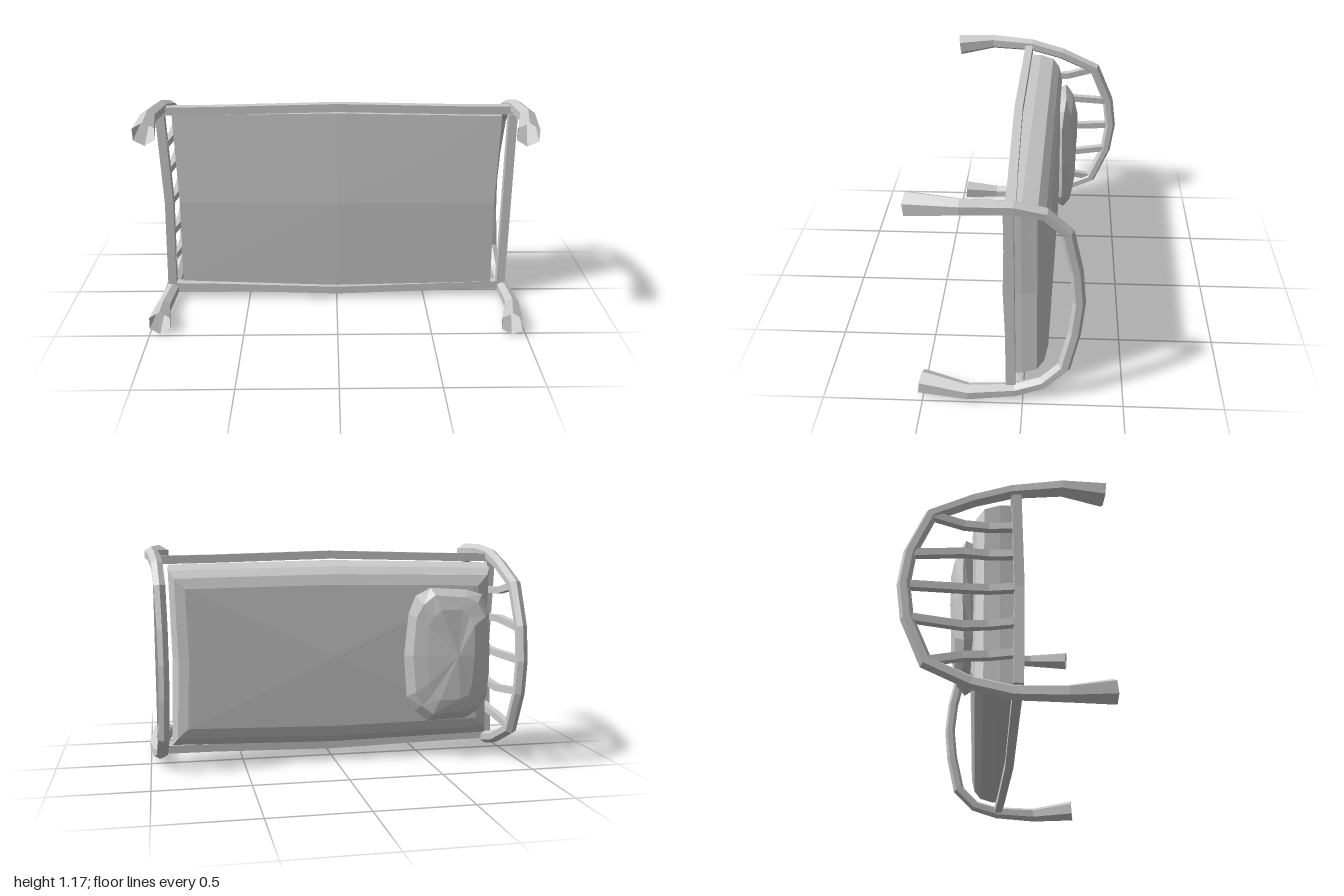
import * as THREE from 'three';

const MID = 0.59; // the frame is mirrored about this height

// Skin a list of rings (each counter-clockwise about the direction of travel);
// optional start and end points close it with fans.
function loft(name, rings, start, end) {
  const pos = [];
  const tri = (a, b, c) => pos.push(...a, ...b, ...c);
  const n = rings[0].length;
  for (let i = 0; i < rings.length - 1; i++) {
    for (let k = 0; k < n; k++) {
      const j = (k + 1) % n, p = rings[i], q = rings[i + 1];
      tri(p[k], p[j], q[j]);
      tri(p[k], q[j], q[k]);
    }
  }
  const last = rings[rings.length - 1];
  for (let k = 0; k < n; k++) {
    const j = (k + 1) % n;
    if (start) tri(start, rings[0][j], rings[0][k]);
    if (end) tri(end, last[k], last[j]);
  }
  const geo = new THREE.BufferGeometry();
  geo.setAttribute('position', new THREE.Float32BufferAttribute(pos, 3));
  geo.computeVertexNormals();
  const mesh = new THREE.Mesh(geo, new THREE.MeshStandardMaterial({
    color: 0xcccccc, flatShading: true, side: THREE.DoubleSide }));
  mesh.name = name;
  return mesh;
}

// Sweep a polygon along points [x, y, z, radius]; ref fixes its orientation.
function sweep(name, pts, sides, ref, turn, capped) {
  const v = pts.map(p => new THREE.Vector3(p[0], p[1], p[2]));
  const rings = v.map((p, i) => {
    const t = v[Math.min(i + 1, v.length - 1)].clone().sub(v[Math.max(i - 1, 0)]).normalize();
    const n = ref.clone().addScaledVector(t, -ref.dot(t)).normalize();
    const b = t.clone().cross(n);
    return Array.from({ length: sides }, (_, k) => {
      const a = turn + k / sides * Math.PI * 2;
      return p.clone().addScaledVector(n, Math.cos(a) * pts[i][3])
        .addScaledVector(b, Math.sin(a) * pts[i][3]).toArray();
    });
  });
  const e = v.map(p => p.toArray());
  return loft(name, rings, capped && e[0], capped && e[e.length - 1]);
}

const X = new THREE.Vector3(1, 0, 0), Z = new THREE.Vector3(0, 0, 1);

// Half profile rows [x, distance from MID, z, radius], mirrored into a full arch
function arch(name, half) {
  const lower = half.map(([x, d, z, r]) => [x, MID - d, z, r]);
  const upper = half.slice(0, -1).reverse().map(([x, d, z, r]) => [x, MID + d, z, r]);
  return sweep(name, [...lower, ...upper], 6, X, Math.PI / 6, false);
}

export function createModel() {
  const bed = new THREE.Group();
  bed.name = 'bed';

  // Head and foot arches with flared, hollow legs
  bed.add(arch('headArch', [
    [-0.945, 0.525, 0.475, 0.062], [-0.96, 0.545, 0.27, 0.042], [-0.935, 0.535, 0.03, 0.036],
    [-0.922, 0.487, -0.155, 0.034], [-0.923, 0.392, -0.36, 0.034],
    [-0.928, 0.175, -0.452, 0.032], [-0.928, 0, -0.475, 0.032]]));
  bed.add(arch('footArch', [
    [0.925, 0.525, 0.51, 0.062], [0.97, 0.543, 0.27, 0.042], [0.955, 0.535, 0.04, 0.036],
    [0.94, 0.497, -0.1, 0.034], [0.93, 0.395, -0.203, 0.034],
    [0.923, 0.18, -0.25, 0.032], [0.921, 0, -0.267, 0.031]]));

  // Long rails, bowed slightly outwards
  for (const s of [-1, 1]) {
    const rail = [[-0.945, 0.52, 0.047], [-0.65, 0.524, 0.052], [0, 0.541, 0.064],
      [0.65, 0.524, 0.056], [0.955, 0.52, 0.047]];
    bed.add(sweep('sideRail', rail.map(([x, d, z]) => [x, MID + s * d, z, 0.031]),
      4, Z, Math.PI / 4, true));
  }

  // Cross rails at both ends
  bed.add(sweep('headRail', [[-0.94, 0.09, 0.05, 0.033], [-0.922, MID, 0.06, 0.033],
    [-0.94, 1.09, 0.05, 0.033]], 4, X, Math.PI / 4, true));
  bed.add(sweep('footRail', [[0.94, 0.09, 0.06, 0.033], [0.94, 1.09, 0.06, 0.033]],
    4, X, Math.PI / 4, true));

  // Fanned headboard slats
  const slats = [[-0.385, -0.35, -0.335], [-0.17, -0.195, -0.18], [0, 0, 0],
    [0.17, 0.195, 0.18], [0.385, 0.35, 0.335]];
  for (const [top, mid, low] of slats) {
    const zTop = Math.abs(top) > 0.3 ? -0.35 : -0.445;
    bed.add(sweep('slat', [[-0.927, MID + top, zTop, 0.026], [-0.908, MID + mid, -0.2, 0.026],
      [-0.905, MID + (mid + low) / 2, -0.08, 0.026], [-0.925, MID + low, 0.055, 0.026]],
      4, X, Math.PI / 4, true));
  }

  // Mattress: stacked outlines [z, half length, half width], thinner at the foot
  const layers = [[-0.14, 0.8, 0.38], [-0.122, 0.855, 0.435], [-0.085, 0.88, 0.475],
    [-0.01, 0.885, 0.497], [0.065, 0.88, 0.5]];
  const outline = [[1, 0], [1, 1], [0, 1], [-1, 1], [-1, 0], [-1, -1], [0, -1], [1, -1]];
  const mattressRings = layers.map(([z, hx, hy]) => outline.map(([a, b]) => [
    a * hx * (b ? 1 : 0.985), MID + b * hy * (a ? 0.985 : 1.02),
    z + 0.018 * a + (z > 0 && a * b === 0 ? 0.015 : 0)]));
  bed.add(loft('mattress', mattressRings, [0, MID, -0.152], [0, MID, 0.1]));

  // Pillow: rounded rectangles with a slightly uneven rim
  const N = 14;
  const pillowLayers = [[-0.243, 0.13, 0.25], [-0.225, 0.2, 0.325],
    [-0.185, 0.24, 0.368], [-0.15, 0.225, 0.355], [-0.125, 0.17, 0.29]];
  const pillowRings = pillowLayers.map(([z, hx, hy], i) => Array.from({ length: N }, (_, k) => {
    const a = k / N * Math.PI * 2, c = Math.cos(a), s = Math.sin(a);
    const wave = 1 + 0.025 * Math.sin(k * 2.3 + i);
    return [-0.62 + Math.sign(c) * Math.abs(c) ** 0.55 * hx * wave,
      MID + Math.sign(s) * Math.abs(s) ** 0.55 * hy * wave,
      z + 0.014 * c + 0.006 * Math.sin(k * 1.7)];
  }));
  bed.add(loft('pillow', pillowRings, [-0.66, MID, -0.256], [-0.62, MID, -0.12]));

  return bed;
}
